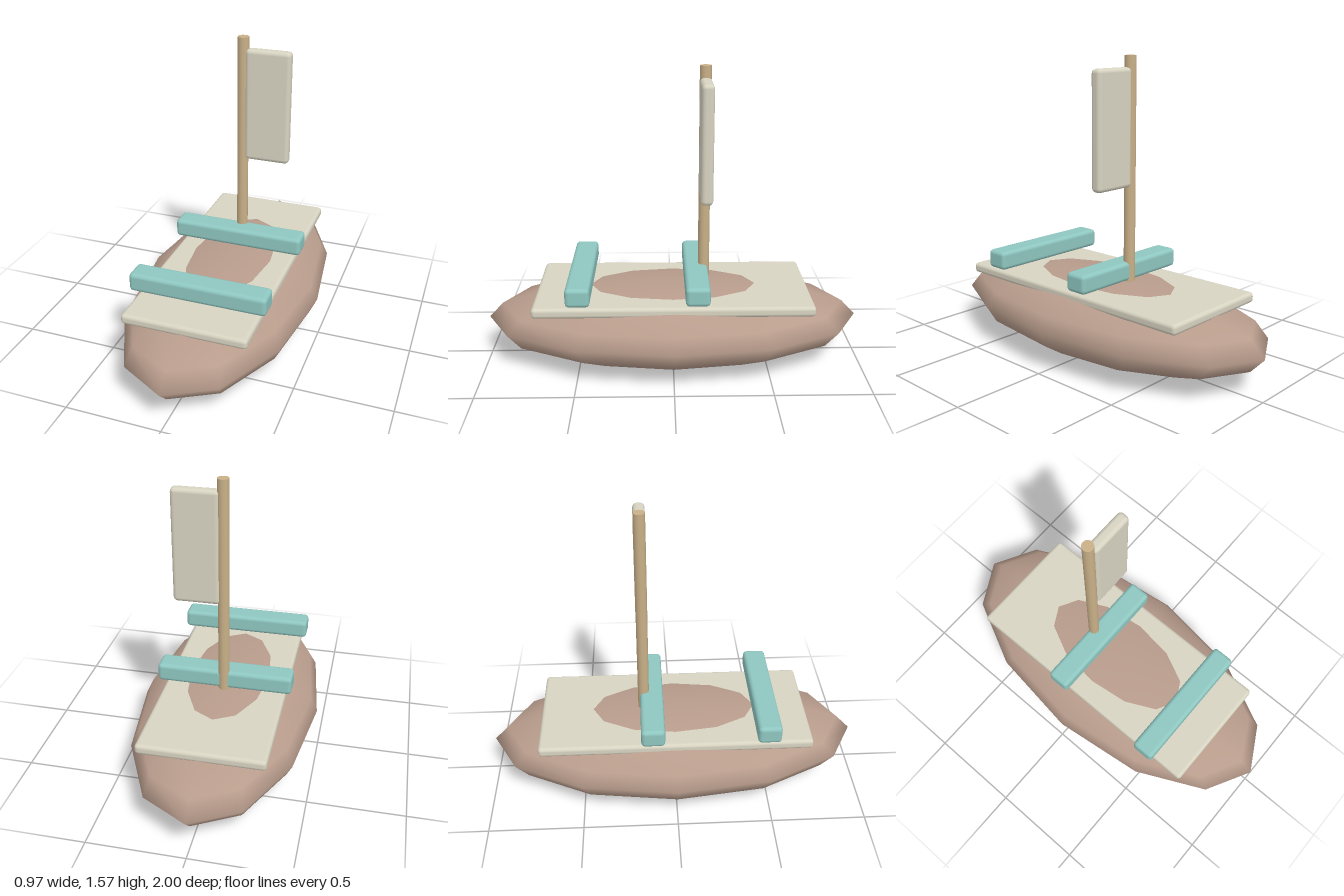
import * as THREE from 'three';
import { RoundedBoxGeometry } from 'three/addons/geometries/RoundedBoxGeometry.js';

const material = (color) => new THREE.MeshStandardMaterial({ color });

export function createModel() {
  const model = new THREE.Group();
  model.name = 'sailboat';

  const add = (name, geometry, mat, x, y, z) => {
    const mesh = new THREE.Mesh(geometry, mat);
    mesh.name = name;
    mesh.position.set(x, y, z);
    model.add(mesh);
    return mesh;
  };
  const box = (w, h, d, r) => new RoundedBoxGeometry(w, h, d, 2, r);

  const brown = material(0xb89c8c);
  const cream = material(0xd8d4c2);
  const teal = material(0x8fc7c1);
  const wood = material(0xc9b088);

  // Hull: a flattened, lengthened ball that crests through the deck
  const hull = new THREE.SphereGeometry(1, 12, 8).scale(0.485, 0.211, 1);
  add('hull', hull, brown, 0, 0.213, 0);

  // Deck board
  add('deck', box(0.65, 0.055, 1.45, 0.02), cream, 0, 0.372, 0);

  // Two cross benches
  const bench = box(0.72, 0.1, 0.125, 0.022);
  add('frontBench', bench, teal, 0, 0.47, 0.485);
  add('rearBench', bench, teal, 0, 0.47, -0.122);

  // Mast and the sail panel on its left side
  add('mast', new THREE.CylinderGeometry(0.03, 0.03, 1.19, 12), wood, 0, 0.98, -0.165);
  add('sail', box(0.24, 0.6, 0.062, 0.022), cream, 0.137, 1.217, -0.165);

  return model;
}
